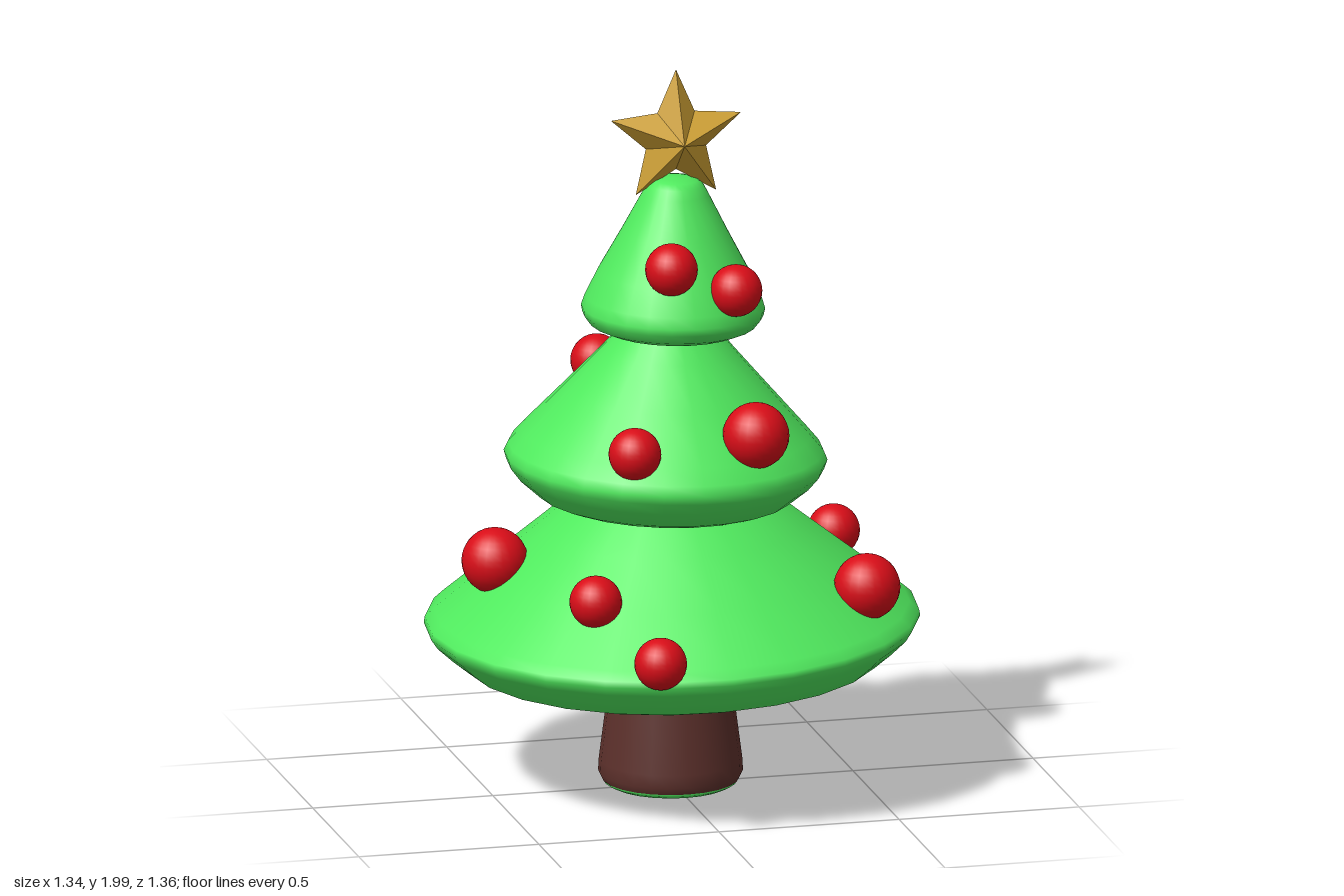
import * as THREE from 'three';

const material = (color, extra = {}) => new THREE.MeshStandardMaterial({ color, ...extra });
const green = material(0x50ea5e);
const brown = material(0x5c302b);
const red = material(0xd90d18);
const gold = material(0xcc9f33, { flatShading: true });

// Solid of revolution from [radius, height] pairs, listed bottom to top
function turned(name, profile, mat, x = 0, z = 0) {
  const points = profile.map(([r, y]) => new THREE.Vector2(r, y));
  const mesh = new THREE.Mesh(new THREE.LatheGeometry(points, 24), mat);
  mesh.name = name;
  mesh.position.set(x, 0, z);
  return mesh;
}

// Leaf tier turned about its rim height so that it can lean slightly
function tier(name, profile, rimY, x, z, tiltX, tiltZ) {
  const mesh = turned(name, profile.map(([r, y]) => [r, y - rimY]), green, x, z);
  mesh.position.y = rimY;
  mesh.rotation.set(tiltX, 0, tiltZ);
  return mesh;
}

// Five-pointed star with a raised centre and a flat back
function starGeometry(outer, inner, depth) {
  const rim = [];
  for (let i = 0; i < 10; i++) {
    const a = Math.PI / 2 + (i * Math.PI) / 5;
    const r = i % 2 ? inner : outer;
    rim.push([r * Math.cos(a), r * Math.sin(a), 0]);
  }
  const positions = [];
  rim.forEach((p, i) => {
    const q = rim[(i + 1) % 10];
    positions.push(...p, ...q, 0, 0, depth);
    positions.push(...q, ...p, 0, 0, 0);
  });
  const geometry = new THREE.BufferGeometry();
  geometry.setAttribute('position', new THREE.Float32BufferAttribute(positions, 3));
  geometry.computeVertexNormals();
  return geometry;
}

export function createModel() {
  const tree = new THREE.Group();
  tree.name = 'decoratedTree';

  // Trunk with a green foot
  tree.add(turned('trunk', [
    [0.185, 0.025], [0.195, 0.045], [0.193, 0.08], [0.175, 0.22], [0.157, 0.36], [0.15, 0.42],
  ], brown, -0.005, -0.006));
  tree.add(turned('trunkFoot', [
    [0, 0.008], [0.13, 0.008], [0.165, 0.01], [0.18, 0.018], [0.186, 0.028], [0.18, 0.04],
  ], green, -0.005, -0.006));

  // Three leaf tiers
  tree.add(tier('bottomTier', [
    [0, 0.35], [0.48, 0.35], [0.53, 0.351], [0.565, 0.362], [0.61, 0.4], [0.652, 0.44],
    [0.668, 0.465], [0.665, 0.482], [0.64, 0.505], [0.5, 0.62], [0.36, 0.735], [0.27, 0.81], [0.2, 0.86],
  ], 0.47, 0, -0.01, 0.01, 0.022));
  tree.add(tier('middleTier', [
    [0, 0.8], [0.25, 0.8], [0.305, 0.803], [0.345, 0.818], [0.4, 0.865], [0.428, 0.9],
    [0.436, 0.925], [0.425, 0.95], [0.39, 0.99], [0.28, 1.11], [0.18, 1.22], [0.12, 1.29],
  ], 0.92, -0.018, -0.01, 0, -0.03));
  tree.add(tier('topTier', [
    [0, 1.275], [0.14, 1.275], [0.19, 1.28], [0.225, 1.295], [0.244, 1.32], [0.248, 1.34],
    [0.238, 1.37], [0.205, 1.44], [0.145, 1.55], [0.09, 1.655], [0.076, 1.68], [0.06, 1.694], [0.035, 1.7], [0, 1.702],
  ], 1.34, 0.002, -0.006, 0, -0.02));

  // Round ornaments: x, y, z, radius
  const ornaments = new THREE.Group();
  ornaments.name = 'ornaments';
  [
    [-0.05, 1.495, 0.18, 0.071], [0.127, 1.427, 0.188, 0.071],
    [0.15, 1.055, 0.315, 0.09], [-0.19, 1.03, 0.33, 0.071],
    [-0.14, 1.125, -0.28, 0.071], [0.138, 1.1, -0.293, 0.071],
    [-0.312, 0.64, 0.382, 0.071], [-0.19, 0.52, 0.61, 0.071],
    [0.455, 0.615, 0.328, 0.09], [0.502, 0.622, -0.218, 0.071],
    [0.03, 0.567, -0.608, 0.072], [-0.49, 0.66, -0.017, 0.09],
  ].forEach(([x, y, z, r], i) => {
    const ball = new THREE.Mesh(new THREE.SphereGeometry(r, 24, 16), red);
    ball.name = `ornament${i + 1}`;
    ball.position.set(x, y, z);
    ornaments.add(ball);
  });
  tree.add(ornaments);

  // Star on top
  const star = new THREE.Mesh(starGeometry(0.19, 0.088, 0.095), gold);
  star.name = 'star';
  star.position.set(0.01, 1.81, -0.006);
  tree.add(star);

  return tree;
}
